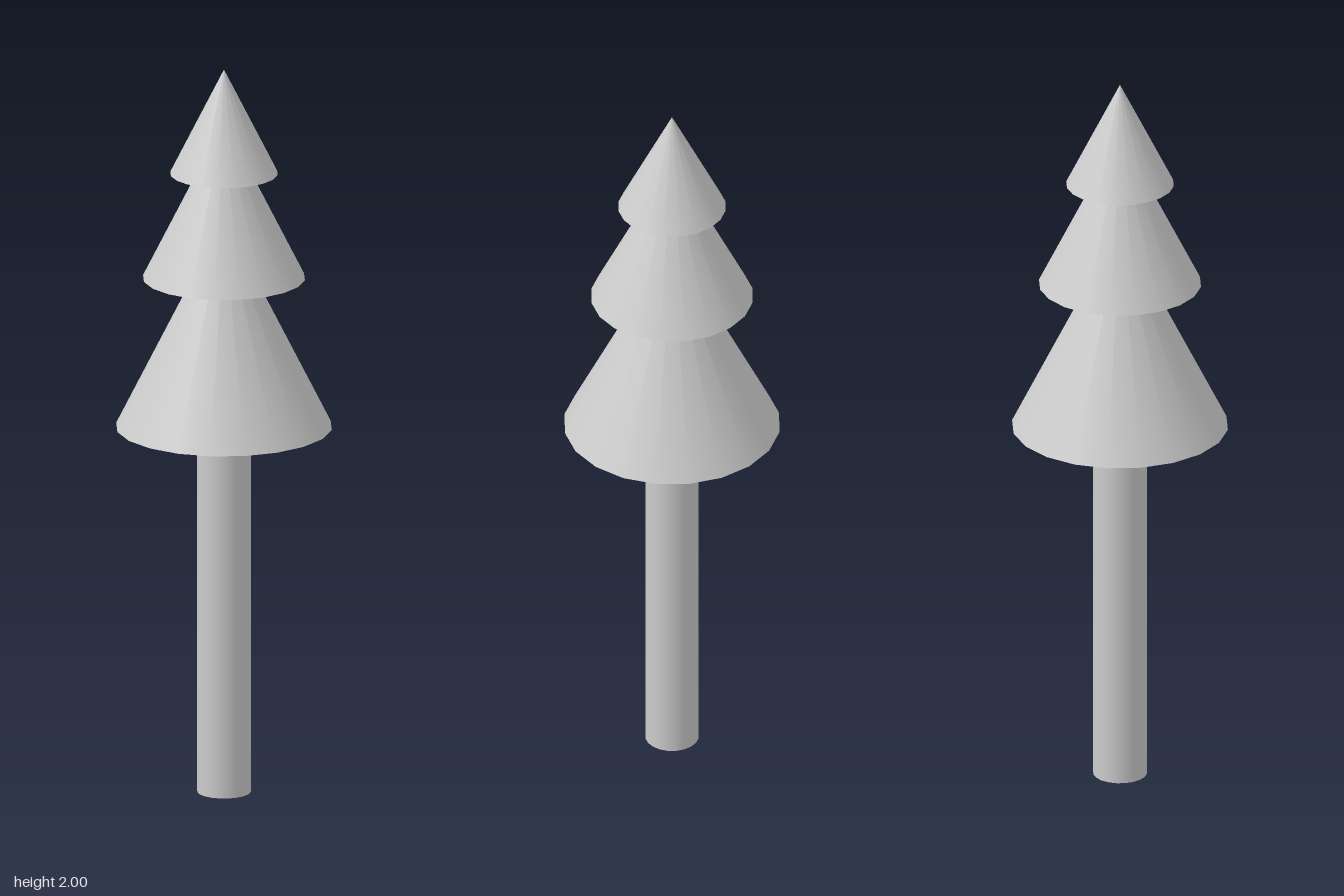
import * as THREE from 'three';

const SIDES = 20;

export function createModel() {
  const tree = new THREE.Group();
  tree.name = 'tree';
  const material = new THREE.MeshStandardMaterial({ color: 0xcccccc });

  const add = (name, geometry, y) => {
    const mesh = new THREE.Mesh(geometry, material);
    mesh.name = name;
    mesh.position.y = y;
    tree.add(mesh);
  };

  // Straight round trunk
  const trunkHeight = 1.011;
  add('trunk', new THREE.CylinderGeometry(0.072, 0.072, trunkHeight, SIDES), trunkHeight / 2);

  // Three overlapping foliage cones, each twice as tall as its radius
  const tiers = [
    ['lowerFoliage', 0.289, 1.011],
    ['middleFoliage', 0.217, 1.423],
    ['topFoliage', 0.144, 1.712],
  ];
  for (const [name, radius, base] of tiers) {
    const height = radius * 2;
    add(name, new THREE.ConeGeometry(radius, height, SIDES), base + height / 2);
  }

  return tree;
}
